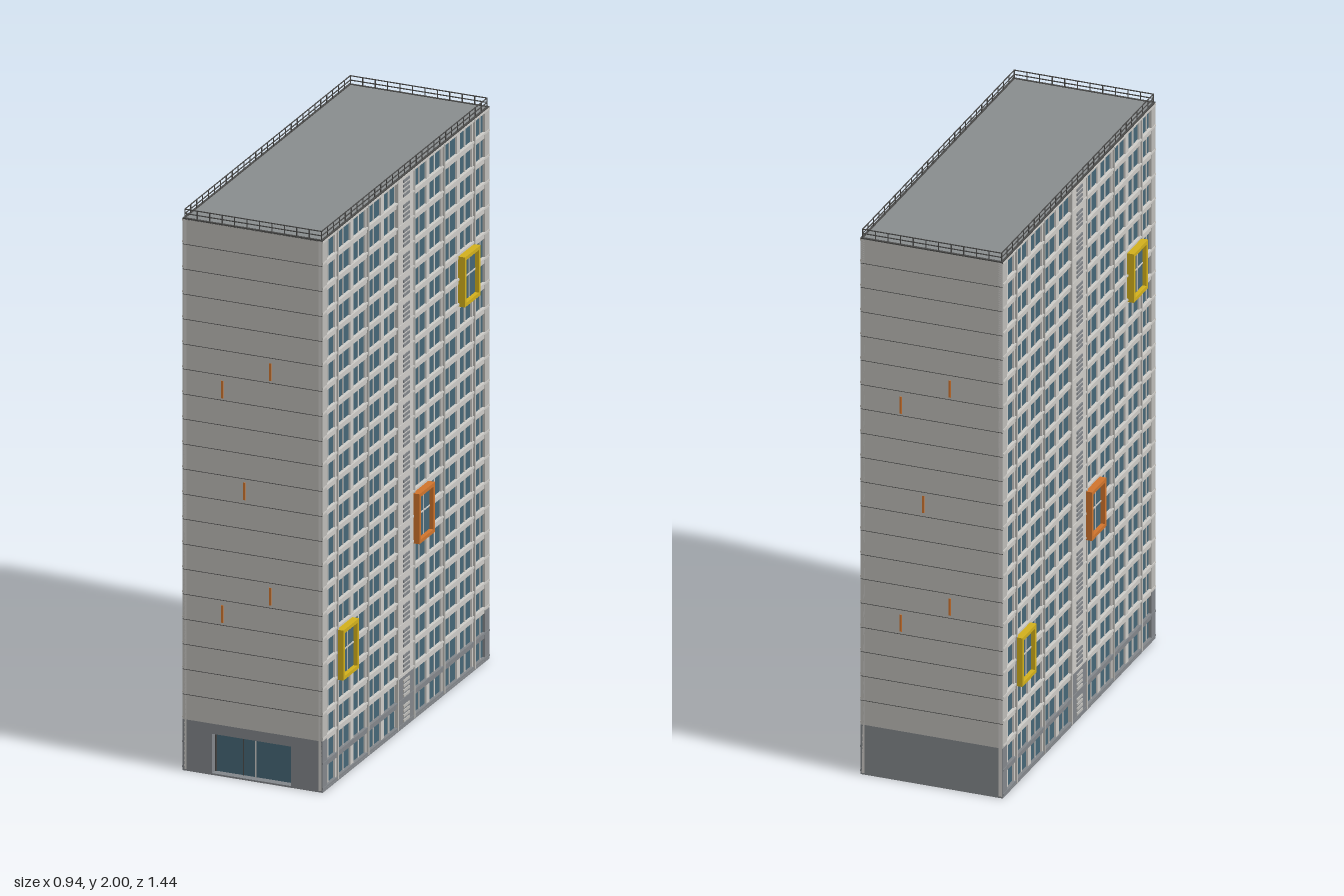
import * as THREE from 'three';

const paint = (name, color) => {
  const m = new THREE.MeshStandardMaterial({ color });
  m.name = name;
  return m;
};

export function createModel() {
  const M = {
    wall: paint('facadeWall', 0xcdcbc7),
    end: paint('endWall', 0xbcbbb7),
    base: paint('baseGrey', 0x82868a),
    roof: paint('roofGrey', 0x888c8e),
    glass: paint('blueGlass', 0x456676),
    dark: paint('darkMetal', 0x4b4b4a),
    yellow: paint('yellowFrame', 0xd2b01c),
    orange: paint('orangeFrame', 0xd0742c),
  };
  const W = 0.255, L = 0.675, TOP = 1.965;   // half width, half length, roof height
  const FLOORS = 22, STEP = 0.0891, COL = 0.123;
  const BASE = 0.183;

  const box = (parent, name, mat, w, h, d, x, y, z) => {
    const m = new THREE.Mesh(new THREE.BoxGeometry(w, h, d), mat);
    m.name = name;
    m.position.set(x, y, z);
    parent.add(m);
    return m;
  };
  // box given by its vertical range
  const slab = (parent, name, mat, w, y0, y1, d, x, z) =>
    box(parent, name, mat, w, y1 - y0, d, x, (y0 + y1) / 2, z);

  const model = new THREE.Group();
  model.name = 'apartmentTower';
  const tower = new THREE.Group();
  tower.name = 'tower';
  tower.rotation.y = THREE.MathUtils.degToRad(20);
  model.add(tower);

  slab(tower, 'core', M.wall, 0.484, 0.004, TOP - 0.004, 1.28, 0, 0);
  slab(tower, 'plinth', M.base, 2 * W, 0, 0.006, 2 * L - 0.002, 0, 0);
  slab(tower, 'roof', M.roof, 2 * W - 0.004, TOP - 0.006, TOP + 0.002, 2 * L - 0.004, 0, 0);

  // large coloured frame around a window two floors high
  const bigFrame = (parent, mat, z, floor) => {
    const g = new THREE.Group();
    g.name = 'bigWindowFrame';
    const h = 2 * STEP, w = 0.126, t = 0.013;
    g.position.set(0.262, 0.005 + floor * STEP + h / 2, z);
    parent.add(g);
    box(g, 'framedGlass', M.glass, 0.006, h - 0.01, w - 0.01, -0.003, 0, 0);
    box(g, 'glazingBar', M.wall, 0.003, 0.005, w - 0.02, 0.001, 0.008, 0);
    box(g, 'glazingBar', M.wall, 0.003, h - 0.02, 0.004, 0.001, 0, 0);
    for (const s of [-1, 1]) {
      box(g, 'frameRail', mat, 0.03, t, w, 0, s * (h - t) / 2, 0);
      box(g, 'framePost', mat, 0.03, h, t, 0, 0, s * (w - t) / 2);
    }
  };

  // long facade, facing +x
  const facade = () => {
    const g = new THREE.Group();
    g.name = 'longFacade';
    for (const s of [-1, 1]) {
      for (let k = 1; k <= 5; k++) {
        const z = s * k * COL;
        slab(g, 'windowStrip', M.glass, 0.006, 0.006, TOP - 0.004, 0.1, 0.242, z);
        slab(g, 'mullion', M.wall, 0.008, 0.006, TOP - 0.004, 0.006, 0.244, z);
        if (k < 5) slab(g, 'pier', M.wall, 0.012, 0.006, TOP, 0.026, 0.246, z + s * COL / 2);
      }
      slab(g, 'cornerPier', M.wall, 0.012, 0.006, TOP, 0.012, 0.246, s * 0.669);
      for (const z of [0.0665, 0.307, 0.5535])
        slab(g, 'fin', M.end, 0.014, 0.006, TOP, 0.008, 0.251, s * z);
    }
    // spandrels and sills on every floor
    for (let i = -1; i < FLOORS; i++) {
      const y0 = Math.max(0.006, 0.084 + i * STEP), y1 = Math.min(TOP, 0.106 + i * STEP);
      slab(g, 'spandrel', i < 1 ? M.base : M.wall, 0.012, y0, y1, 2 * L - 0.002, 0.2465, 0);
      slab(g, 'sill', i < 1 ? M.base : M.wall, 0.014, y1 - 0.007, y1, 2 * L - 0.002, 0.25, 0);
    }
    // stair bay with louvres
    slab(g, 'stairWall', M.wall, 0.0155, BASE, TOP, 0.125, 0.247, 0);
    slab(g, 'stairBase', M.base, 0.0155, 0.006, BASE, 0.125, 0.247, 0);
    for (let i = 0; i < FLOORS; i++)
      for (let j = 0; j < 4; j++)
        box(g, 'louvre', i < 2 ? M.end : M.base, 0.006, 0.009, 0.05, 0.2555, 0.026 + i * STEP + j * 0.017, 0);
    bigFrame(g, M.yellow, 4 * COL, 4);
    bigFrame(g, M.orange, -COL, 7);
    bigFrame(g, M.yellow, -4 * COL, 15);
    return g;
  };

  // short end wall, facing +z, with or without an entrance
  const endWall = (entrance) => {
    const g = new THREE.Group();
    g.name = entrance ? 'entranceEnd' : 'plainEnd';
    const d = 0.036, z = L - d / 2;
    slab(g, 'endPanel', M.end, 2 * W, BASE, TOP, d, 0, z);
    if (entrance) {
      const a = -0.148, b = 0.14, h = 0.147;
      slab(g, 'basePanel', M.base, a + W, 0.005, BASE, d, (a - W) / 2, z);
      slab(g, 'basePanel', M.base, W - b, 0.005, BASE, d, (b + W) / 2, z);
      slab(g, 'lintel', M.base, b - a, h, BASE, d, (a + b) / 2, z);
      slab(g, 'entranceGlass', M.glass, b - a, 0.006, h, 0.006, (a + b) / 2, 0.644);
      slab(g, 'doorBar', M.wall, 0.004, 0.006, h, 0.006, 0, 0.646);
      slab(g, 'doorBar', M.dark, 0.004, 0.006, h, 0.006, -0.045, 0.646);
      for (const x of [a + 0.003, b - 0.003])
        slab(g, 'doorJamb', M.dark, 0.006, 0.006, h, 0.008, x, 0.647);
      slab(g, 'doorHead', M.dark, b - a, h - 0.006, h, 0.008, (a + b) / 2, 0.647);
    } else {
      slab(g, 'basePanel', M.base, 2 * W, 0.005, BASE, d, 0, z);
    }
    // panel joints and small orange accents
    for (let i = 3; i < FLOORS; i++)
      box(g, 'panelJoint', M.dark, 2 * W, 0.002, 0.001, 0, 0.005 + i * STEP, L);
    for (const [x, y] of [[-0.11, 1.38], [-0.03, 1.03], [0.065, 1.47], [-0.11, 0.58], [0.065, 0.67]])
      box(g, 'accentBar', M.orange, 0.008, 0.062, 0.004, x, y, L);
    return g;
  };

  const turned = (part) => {
    part.rotation.y = Math.PI;
    return part;
  };
  tower.add(facade(), turned(facade()), endWall(true), turned(endWall(false)));

  // roof edge and railing
  const rail = new THREE.Group();
  rail.name = 'roofRailing';
  tower.add(rail);
  const rx = W - 0.006, rz = L - 0.006;
  for (const s of [-1, 1]) {
    box(rail, 'coping', M.dark, 0.008, 0.006, 2 * L, s * (W - 0.004), TOP + 0.001, 0);
    box(rail, 'coping', M.dark, 2 * W, 0.006, 0.008, 0, TOP + 0.001, s * (L - 0.004));
    for (const y of [1.983, 1.9985]) {
      box(rail, 'handrail', M.dark, 0.003, 0.003, 2 * rz, s * rx, y, 0);
      box(rail, 'handrail', M.dark, 2 * rx, 0.003, 0.003, 0, y, s * rz);
    }
    for (let i = 0; i <= 28; i++)
      slab(rail, 'railPost', M.dark, 0.003, TOP, 2, 0.003, s * rx, -rz + i * rz / 14);
    for (let i = 1; i < 11; i++)
      slab(rail, 'railPost', M.dark, 0.003, TOP, 2, 0.003, -rx + i * rx / 5.5, s * rz);
  }
  return model;
}
